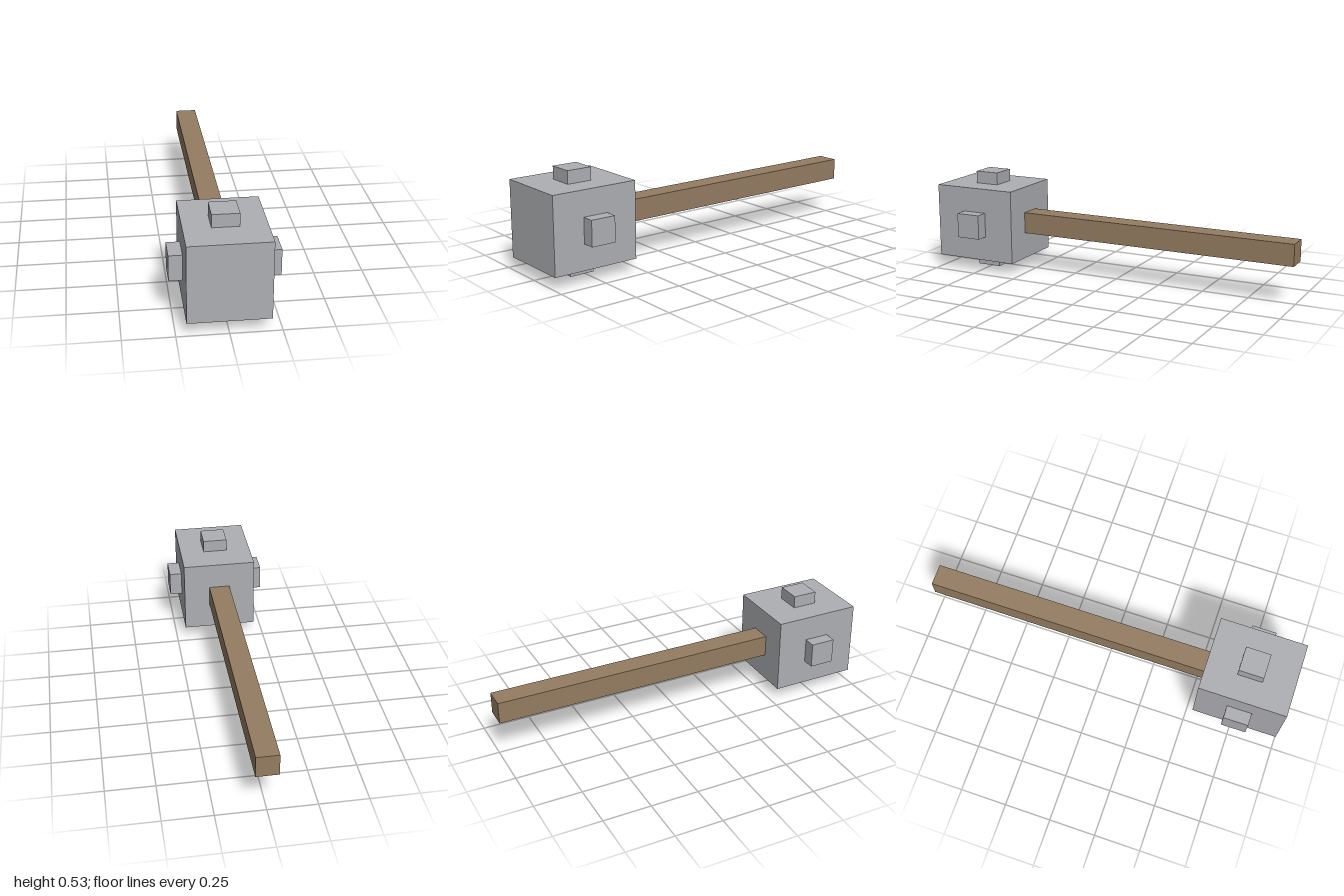
import * as THREE from 'three';

export function createModel() {
  const model = new THREE.Group();
  model.name = 'mallet';

  const stone = new THREE.MeshStandardMaterial({ color: 0xaeafb3 });
  stone.name = 'stone grey';
  const wood = new THREE.MeshStandardMaterial({ color: 0x957d62 });
  wood.name = 'wood brown';

  const midY = 0.267;
  const headZ = 0.767;

  function box(name, size, position, material) {
    const mesh = new THREE.Mesh(new THREE.BoxGeometry(...size), material);
    mesh.name = name;
    mesh.position.set(...position);
    model.add(mesh);
  }

  // Block head and the long handle behind it
  box('head', [0.4, 0.4, 0.466], [0, midY, headZ], stone);
  box('handle', [0.115, 0.115, 1.54], [0, midY, -0.23], wood);

  // Square studs on the four sides, slightly sunk into the head
  const studWidth = 0.133, sink = 0.02, height = 0.067;
  const offset = 0.2 + (height - sink) / 2;
  for (const s of [1, -1]) {
    box(s > 0 ? 'leftStud' : 'rightStud', [height + sink, studWidth, studWidth],
      [s * offset, midY, headZ], stone);
    box(s > 0 ? 'topStud' : 'bottomStud', [studWidth, height + sink, studWidth],
      [0, midY + s * offset, headZ], stone);
  }

  return model;
}
